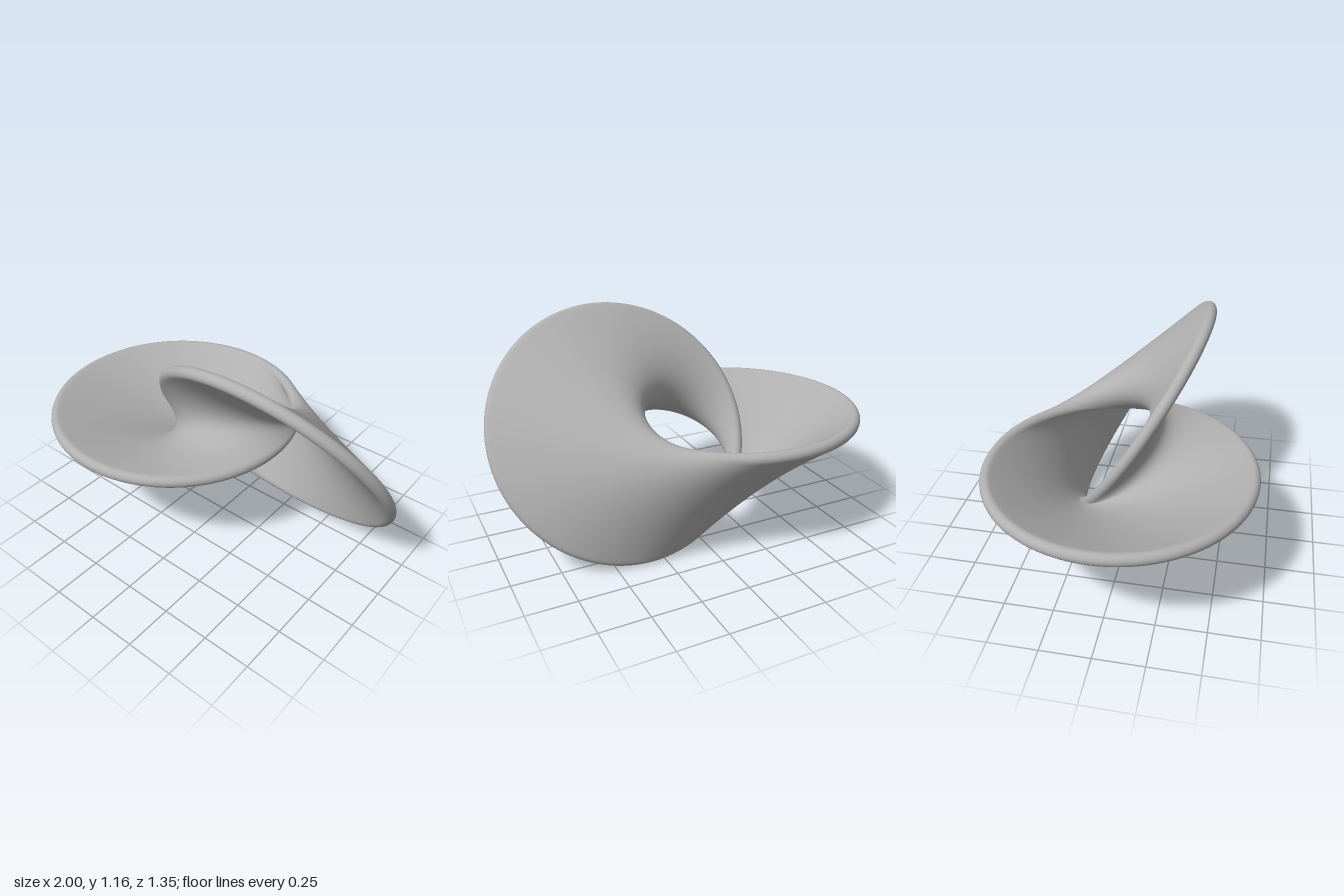
import * as THREE from 'three';

const R = 0.646, C = 0.323, Y0 = 0.581;       // rim radius, centre offset, height
const TILT = THREE.MathUtils.degToRad(58);    // angle between the two rims
const HALF = 0.031;                           // half the band thickness
const SHIFT = THREE.MathUtils.degToRad(37), FAN = Math.sqrt(3.95);
const AROUND = 288, ACROSS = 40, ROUND = 10;

// uneven circle-to-circle map, so that rulings fan out from each rim's inner side
const warp = (u, k) => 2 * Math.atan2(k * Math.sin(u / 2), Math.cos(u / 2));

// point of the middle surface: u runs around the band, w from level rim to tilted rim
function middle(u, w) {
  const t = warp(u, 1 / FAN) - SHIFT, s = warp(u, FAN) + SHIFT;
  const a = new THREE.Vector3(-C + R * Math.cos(t), Y0, R * Math.sin(t));
  const b = new THREE.Vector3(
    C + R * Math.cos(s),
    Y0 + R * Math.sin(s) * Math.sin(TILT),
    R * Math.sin(s) * Math.cos(TILT));
  // slight inward sag on the lower back side
  const g = ((1 - Math.sin(t)) * (1 - Math.sin(s)) / 4) ** 2;
  const sag = 0.05 * g * 4 * w * (1 - w);
  const p = a.lerp(b, w);
  p.y += sag * Math.sin(TILT / 2);
  p.z += sag * Math.cos(TILT / 2);
  return p;
}

// position, unit normal and unit outward direction across the band
function frame(u, w) {
  const e = 1e-4;
  const along = middle(u + e, w).sub(middle(u - e, w)).normalize();
  const across = middle(u, w + e).sub(middle(u, w - e));
  const n = along.clone().cross(across).normalize();
  const out = n.clone().cross(along).normalize();
  return { p: middle(u, w), n, out };
}

// closed cross-section: upper face, round rim, lower face, round rim
function section(u) {
  const upper = [], lower = [], rims = [[], []];
  for (let j = 0; j <= ACROSS; j++) {
    const { p, n, out } = frame(u, j / ACROSS);
    upper.push(p.clone().addScaledVector(n, HALF));
    lower.unshift(p.clone().addScaledVector(n, -HALF));
    if (j === 0 || j === ACROSS) {
      const side = j === 0 ? -1 : 1;
      for (let k = 1; k < ROUND; k++) {
        const a = Math.PI * k / ROUND;
        rims[j === 0 ? 0 : 1].push(p.clone()
          .addScaledVector(n, side * HALF * Math.cos(a))
          .addScaledVector(out, side * HALF * Math.sin(a)));
      }
    }
  }
  return [...upper, ...rims[1], ...lower, ...rims[0]];
}

export function createModel() {
  const positions = [], index = [];
  let count = 0;
  for (let i = 0; i < AROUND; i++) {
    const loop = section(-Math.PI + 2 * Math.PI * i / AROUND);
    count = loop.length;
    loop.forEach(v => positions.push(v.x, v.y, v.z));
  }
  for (let i = 0; i < AROUND; i++) {
    const i2 = (i + 1) % AROUND;
    for (let j = 0; j < count; j++) {
      const j2 = (j + 1) % count;
      const a = i * count + j, b = i2 * count + j, c = i2 * count + j2, d = i * count + j2;
      index.push(a, b, c, a, c, d);
    }
  }
  const geometry = new THREE.BufferGeometry();
  geometry.setAttribute('position', new THREE.Float32BufferAttribute(positions, 3));
  geometry.setIndex(index);
  geometry.computeVertexNormals();

  const grey = new THREE.MeshStandardMaterial({ color: 0xb0b0b0 });
  grey.name = 'grey';
  const band = new THREE.Mesh(geometry, grey);
  band.name = 'twistedBand';

  const group = new THREE.Group();
  group.name = 'linkedRingSurface';
  group.add(band);
  return group;
}
